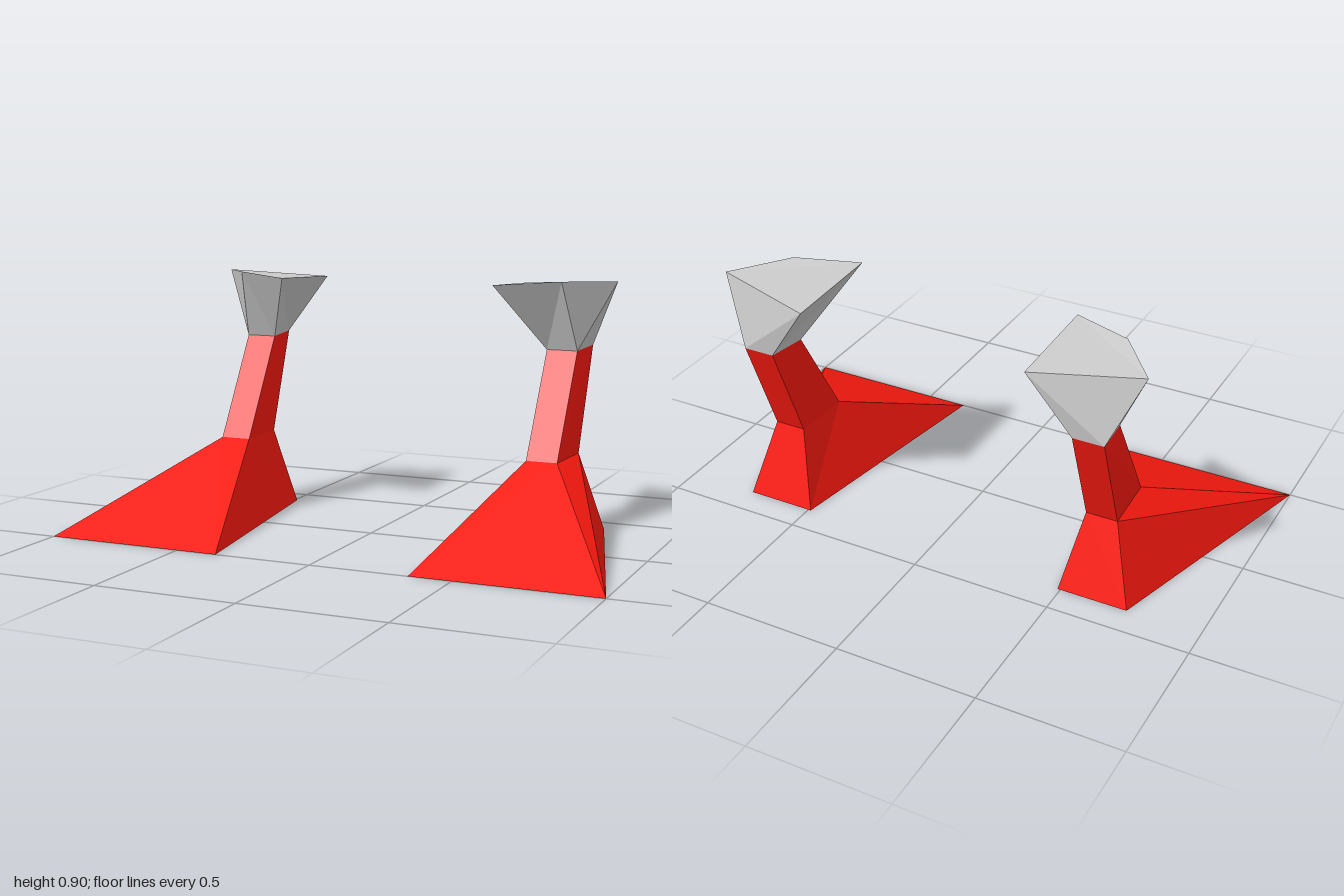
import * as THREE from 'three';

// Skin a stack of four-cornered rings (bottom to top); corners run front inner,
// front outer, back outer, back inner. side = -1 mirrors the shape in x.
function loft(rings, side, capTop) {
  const pos = [];
  const tri = (a, b, c) => {
    for (const [x, y, z] of side > 0 ? [a, b, c] : [a, c, b]) pos.push(x * side, y, z);
  };
  const quad = (a, b, c, d) => { tri(a, b, c); tri(a, c, d); };
  for (let r = 0; r < rings.length - 1; r++) {
    for (let i = 0; i < 4; i++) {
      const j = (i + 1) % 4;
      quad(rings[r][i], rings[r][j], rings[r + 1][j], rings[r + 1][i]);
    }
  }
  if (capTop) quad(...rings[rings.length - 1]);
  const geo = new THREE.BufferGeometry();
  geo.setAttribute('position', new THREE.Float32BufferAttribute(pos, 3));
  geo.computeVertexNormals();
  return geo;
}

export function createModel() {
  const group = new THREE.Group();
  const red = new THREE.MeshStandardMaterial({ color: 0xff1a10, flatShading: true, side: THREE.DoubleSide });
  const grey = new THREE.MeshStandardMaterial({ color: 0xcccccc, flatShading: true, side: THREE.DoubleSide });

  const sole = [[0.35, 0, 0.5], [1, 0, 0.5], [0.74, 0, -0.395], [0.49, 0, -0.395]];
  const ankle = [[0.54, 0.285, -0.1], [0.652, 0.285, -0.1], [0.662, 0.285, -0.32], [0.55, 0.285, -0.32]];
  const shinTop = [[0.54, 0.648, -0.315], [0.652, 0.648, -0.315], [0.665, 0.655, -0.465], [0.555, 0.655, -0.465]];
  const cuffTop = [[0.405, 0.885, -0.115], [0.622, 0.897, -0.21], [0.77, 0.89, -0.398], [0.405, 0.868, -0.5]];

  for (const side of [1, -1]) {
    const leg = new THREE.Group();
    leg.name = side > 0 ? 'leftLeg' : 'rightLeg';
    // Boot: wedge foot, open underneath, rising into a slanted shin
    const boot = new THREE.Mesh(loft([sole, ankle, shinTop], side, false), red);
    boot.name = 'boot';
    // Flared, capped cuff
    const cuff = new THREE.Mesh(loft([shinTop, cuffTop], side, true), grey);
    cuff.name = 'cuff';
    leg.add(boot, cuff);
    group.add(leg);
  }
  return group;
}
